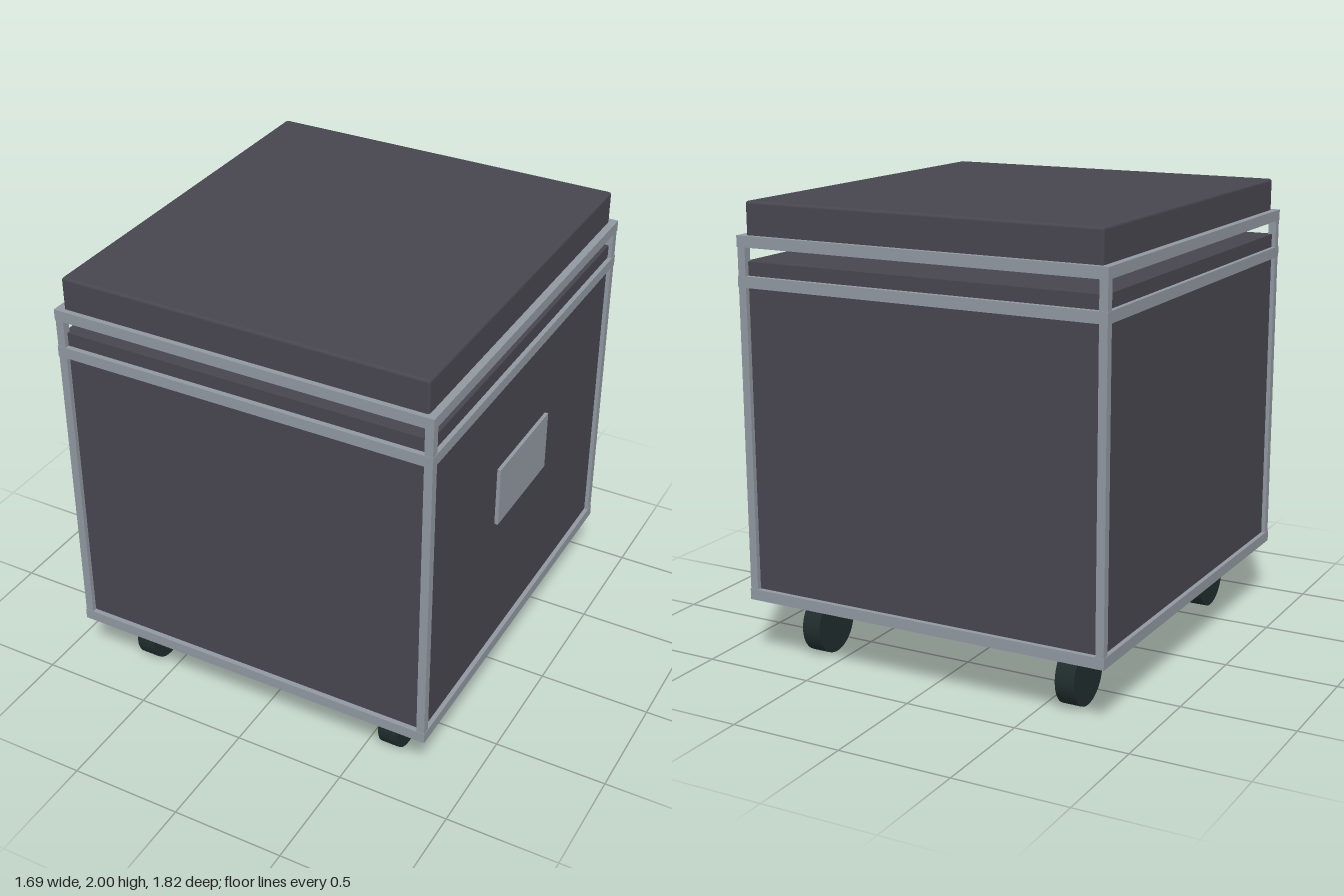
import * as THREE from 'three';
import { RoundedBoxGeometry } from 'three/addons/geometries/RoundedBoxGeometry.js';

export function createModel() {
  const model = new THREE.Group();
  model.name = 'rollingStorageStool';

  const mat = (name, color) => {
    const m = new THREE.MeshStandardMaterial({ color });
    m.name = name;
    return m;
  };
  const charcoal = mat('charcoal', 0x47464f);
  const steel = mat('steel', 0x90979f);
  const rubber = mat('rubber', 0x202d2d);

  const add = (name, geometry, material, x, y, z, parent = model) => {
    const mesh = new THREE.Mesh(geometry, material);
    mesh.name = name;
    mesh.position.set(x, y, z);
    parent.add(mesh);
    return mesh;
  };

  // Storage box, slightly recessed behind the frame
  add('storageBox', new THREE.BoxGeometry(1.65, 1.465, 1.77), charcoal, 0, 1.0175, 0);

  // Seat cushion with softly rounded edges
  add('seatCushion', new RoundedBoxGeometry(1.625, 0.18, 1.77, 3, 0.012), charcoal, 0, 1.91, 0);

  // Frame: three horizontal rings joined by corner posts
  const frame = new THREE.Group();
  frame.name = 'frame';
  model.add(frame);
  const halfX = 0.845, halfZ = 0.908, bar = 0.036;
  const rings = [['bottom', 0.3], ['middle', 1.667], ['top', 1.835]];
  for (const [name, y] of rings) {
    for (const s of [-1, 1]) {
      add(name + 'RailX', new THREE.BoxGeometry(2 * halfX, 0.048, bar), steel,
        0, y, s * (halfZ - bar / 2), frame);
      add(name + 'RailZ', new THREE.BoxGeometry(bar, 0.048, 2 * (halfZ - bar)), steel,
        s * (halfX - bar / 2), y, 0, frame);
    }
  }
  for (const sx of [-1, 1]) {
    for (const sz of [-1, 1]) {
      add('cornerPost', new THREE.BoxGeometry(bar, 1.535, bar), steel,
        sx * (halfX - bar / 2 - 0.002), 1.0675, sz * (halfZ - bar / 2 - 0.002), frame);
    }
  }

  // Plate on one side
  add('sidePlate', new THREE.BoxGeometry(0.016, 0.275, 0.49), steel, 0.833, 1.097, 0.003);

  // Wheels
  const wheelGeometry = new THREE.CylinderGeometry(0.132, 0.132, 0.087, 40).rotateZ(Math.PI / 2);
  for (const sx of [-1, 1]) {
    for (const sz of [-1, 1]) {
      add('wheel', wheelGeometry, rubber, sx * 0.616, 0.132, sz * 0.66);
    }
  }

  return model;
}
